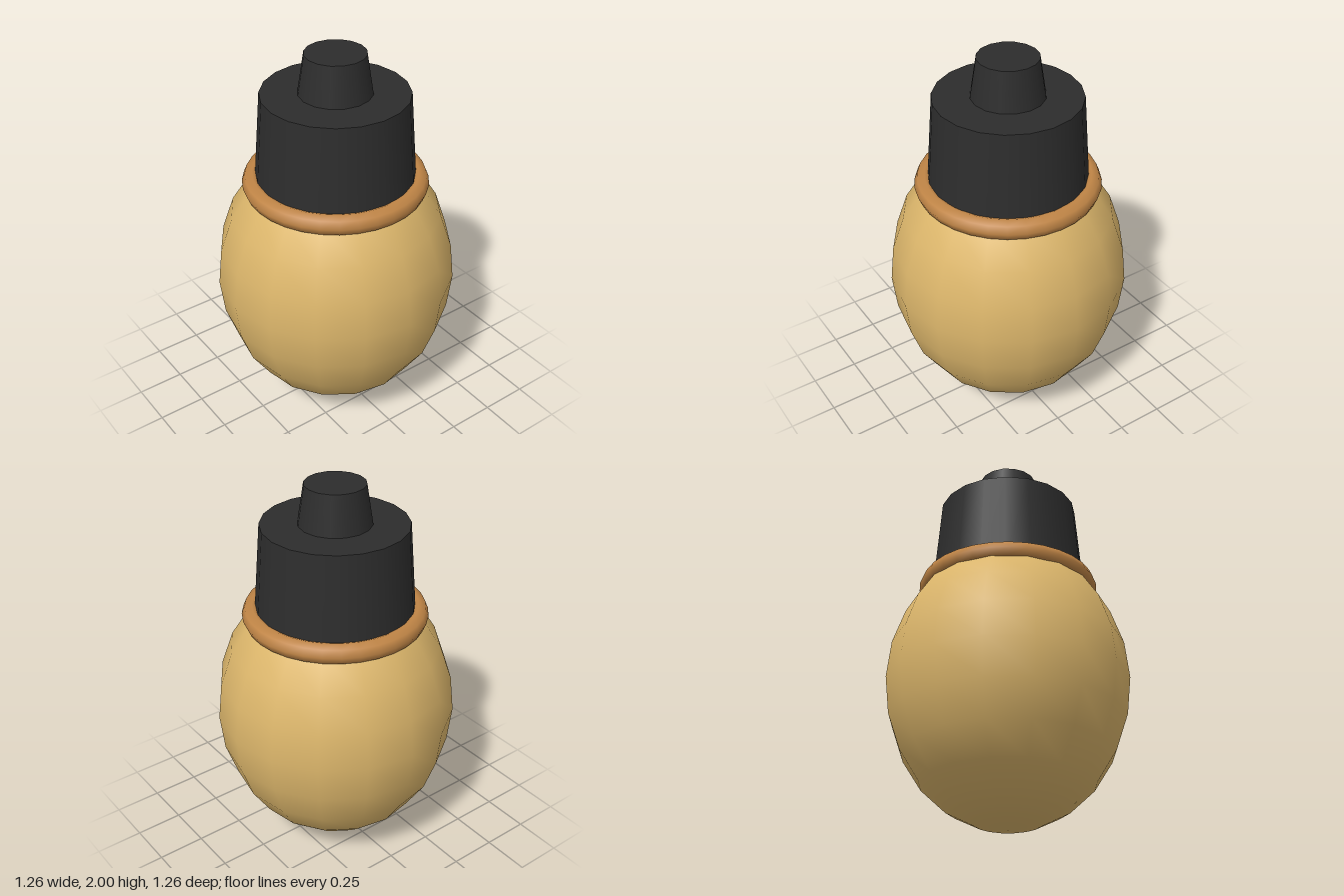
import * as THREE from 'three';

export function createModel() {
  const group = new THREE.Group();
  const material = (name, color) => {
    const m = new THREE.MeshStandardMaterial({ color });
    m.name = name;
    return m;
  };
  const tan = material('tan', 0xdcb66b);
  const copper = material('copper', 0xc08546);
  const black = material('black', 0x2d2d2d);

  const add = (name, geometry, mat, y) => {
    const mesh = new THREE.Mesh(geometry, mat);
    mesh.name = name;
    mesh.position.y = y;
    group.add(mesh);
    return mesh;
  };

  // Egg-shaped body: a sphere stretched upwards
  add('body', new THREE.SphereGeometry(0.63, 16, 12).scale(1, 1.2, 1), tan, 0.758);

  // Ring around the neck
  add('collar', new THREE.TorusGeometry(0.423, 0.053, 8, 32).rotateX(Math.PI / 2), copper, 1.31);

  // Tapered cap, sunk into the collar, with a smaller knob on top
  add('cap', new THREE.CylinderGeometry(0.372, 0.412, 0.5, 20), black, 1.545);
  add('knob', new THREE.CylinderGeometry(0.154, 0.187, 0.21, 16), black, 1.895);

  return group;
}
